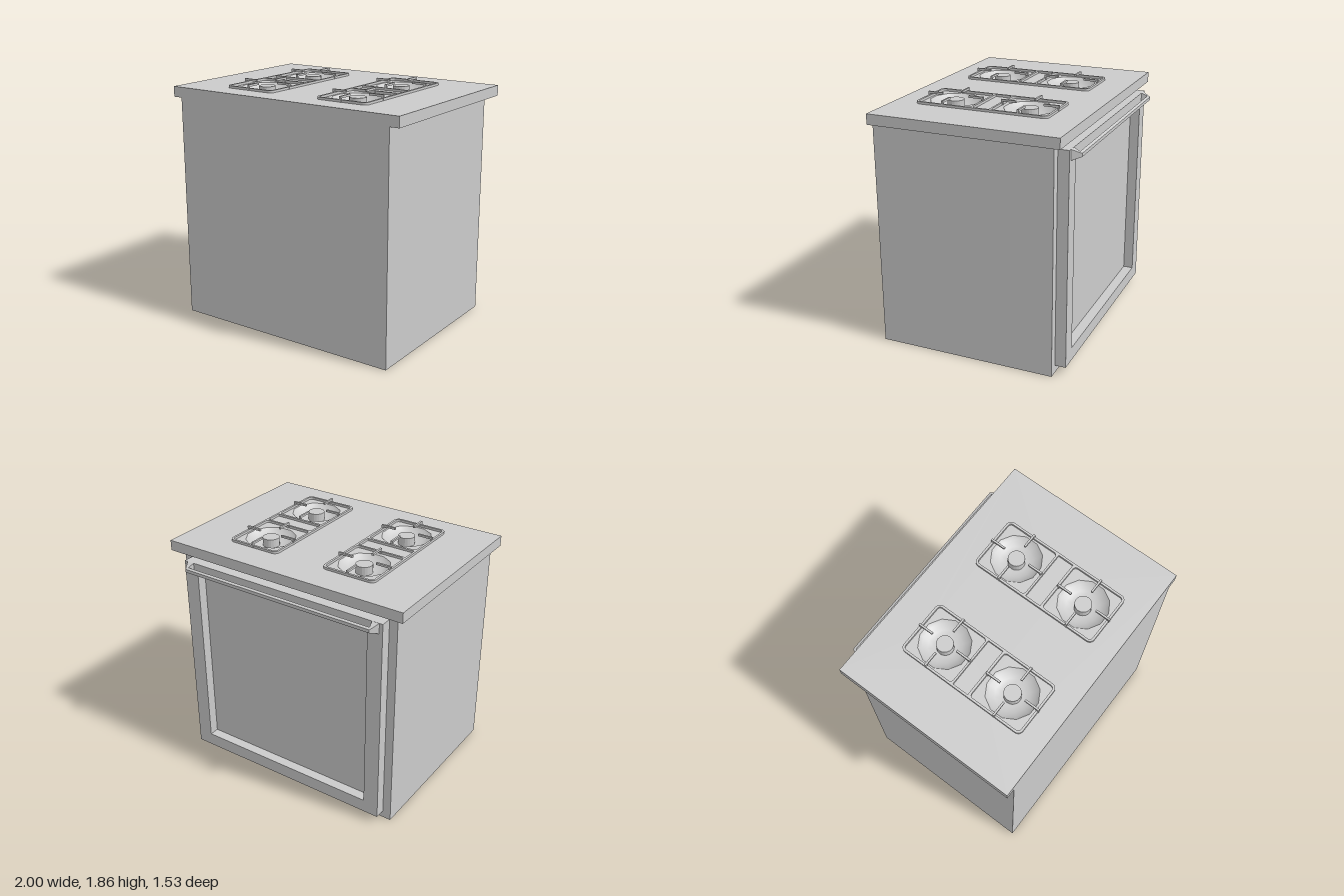
import * as THREE from 'three';
import { ConvexGeometry } from 'three/addons/geometries/ConvexGeometry.js';

const grey = new THREE.MeshStandardMaterial({ color: 0xcccccc, flatShading: true });
const smoothGrey = new THREE.MeshStandardMaterial({ color: 0xcccccc, side: THREE.DoubleSide });

const TOP = 1.82;            // worktop surface height
const BURNER_X = 0.413;
const BURNER_Z = [-0.225, 0.365];
const BOWL_R = 0.19;
const BOWL_SIDES = 12;

function add(parent, name, geometry, material = grey) {
  const mesh = new THREE.Mesh(geometry, material);
  mesh.name = name;
  parent.add(mesh);
  return mesh;
}

// Box given by its min and max corners
function box(x0, x1, y0, y1, z0, z1) {
  return new THREE.BoxGeometry(x1 - x0, y1 - y0, z1 - z0)
    .translate((x0 + x1) / 2, (y0 + y1) / 2, (z0 + z1) / 2);
}

// Rectangle outline in x and y, with optional rounded corners
function rect(Type, x0, x1, y0, y1, r = 0) {
  const s = new Type();
  s.moveTo(x0 + r, y0);
  s.lineTo(x1 - r, y0);
  if (r) s.absarc(x1 - r, y0 + r, r, -Math.PI / 2, 0);
  s.lineTo(x1, y1 - r);
  if (r) s.absarc(x1 - r, y1 - r, r, 0, Math.PI / 2);
  s.lineTo(x0 + r, y1);
  if (r) s.absarc(x0 + r, y1 - r, r, Math.PI / 2, Math.PI);
  s.lineTo(x0, y0 + r);
  if (r) s.absarc(x0 + r, y0 + r, r, Math.PI, Math.PI * 1.5);
  return s;
}

// Horizontal slab from a plan outline (outline y becomes -z)
function slab(shape, y0, height) {
  return new THREE.ExtrudeGeometry(shape, { depth: height, bevelEnabled: false, curveSegments: 4 })
    .rotateX(-Math.PI / 2).translate(0, y0, 0);
}

// Tapered block between two rectangles [x0, x1, y0, y1, z]
function taper(...ends) {
  const points = [];
  for (const [x0, x1, y0, y1, z] of ends)
    for (const x of [x0, x1]) for (const y of [y0, y1]) points.push(new THREE.Vector3(x, y, z));
  return new ConvexGeometry(points);
}

// Sunken bowl with the burner cap in its middle
function makeBurner() {
  const burner = new THREE.Group();
  burner.name = 'burner';
  const profile = [[0, 1.76], [0.08, 1.762], [0.125, 1.772], [0.165, 1.793], [BOWL_R, TOP]]
    .map(([r, y]) => new THREE.Vector2(r, y));
  add(burner, 'burnerBowl', new THREE.LatheGeometry(profile, BOWL_SIDES, Math.PI / BOWL_SIDES), smoothGrey);
  const cap = new THREE.CylinderGeometry(0.063, 0.063, 0.066, 20).translate(0, 1.793, 0);
  add(burner, 'burnerCap', cap);
  return burner;
}

// Pan support finger: a post on the frame and an arm reaching inward along -x
function makeFinger(reach) {
  const finger = new THREE.Group();
  finger.name = 'grateFinger';
  add(finger, 'fingerPost', box(reach - 0.015, reach, TOP, 1.847, -0.0075, 0.0075));
  add(finger, 'fingerArm', box(reach - 0.118, reach, 1.847, 1.863, -0.0075, 0.0075));
  return finger;
}

// Grate over two burners
function makeGrate() {
  const grate = new THREE.Group();
  grate.name = 'grate';
  const frame = rect(THREE.Shape, -0.215, 0.215, -0.585, 0.447, 0.04);
  frame.holes.push(
    rect(THREE.Path, -0.198, 0.198, 0.01, 0.43, 0.025),
    rect(THREE.Path, -0.198, 0.198, -0.132, -0.005),
    rect(THREE.Path, -0.198, 0.198, -0.568, -0.15, 0.025));
  add(grate, 'grateFrame', slab(frame, TOP, 0.018));
  for (const z of BURNER_Z) {
    for (let i = 0; i < 4; i++) {
      const finger = makeFinger(i % 2 ? 0.224 : 0.216);
      finger.rotation.y = i * Math.PI / 2;
      finger.position.z = z;
      grate.add(finger);
    }
  }
  return grate;
}

export function createModel() {
  const model = new THREE.Group();
  model.name = 'stove';

  add(model, 'cabinet', box(-0.925, 0.925, 0, 1.74, -0.615, 0.765));

  // Worktop with a hole for each bowl
  const top = rect(THREE.Shape, -1, 1, -0.765, 0.685);
  for (const side of [-1, 1]) for (const z of BURNER_Z) {
    const ring = [];
    for (let i = 0; i < BOWL_SIDES; i++) {
      const a = (i + 0.5) / BOWL_SIDES * Math.PI * 2;
      ring.push(new THREE.Vector2(side * BURNER_X + BOWL_R * Math.cos(a), -z + BOWL_R * Math.sin(a)));
    }
    top.holes.push(new THREE.Path(ring));
  }
  add(model, 'worktop', slab(top, 1.74, TOP - 1.74));

  // Burners and grates
  for (const side of [-1, 1]) {
    for (const z of BURNER_Z) {
      const burner = makeBurner();
      burner.position.set(side * BURNER_X, 0, z);
      model.add(burner);
    }
    const grate = makeGrate();
    grate.position.x = side * BURNER_X;
    model.add(grate);
  }

  // Oven door: a frame around a recessed panel
  const door = new THREE.Group();
  door.name = 'ovenDoor';
  model.add(door);
  const doorFrame = rect(THREE.Shape, -0.86, 0.86, 0.058, 1.697);
  doorFrame.holes.push(rect(THREE.Path, -0.74, 0.74, 0.16, 1.61));
  add(door, 'doorFrame', new THREE.ExtrudeGeometry(doorFrame, { depth: 0.083, bevelEnabled: false })
    .translate(0, 0, -0.698));
  add(door, 'doorPanel', box(-0.75, 0.75, 0.15, 1.62, -0.622, -0.612));

  // Handle: tapered bar on two splayed legs
  const handle = new THREE.Group();
  handle.name = 'doorHandle';
  door.add(handle);
  add(handle, 'handleBar', taper(
    [-0.808, 0.808, 1.636, 1.676, -0.745], [-0.797, 0.797, 1.643, 1.668, -0.765]));
  for (const side of [-1, 1]) {
    add(handle, 'handleLeg', taper(
      [side * 0.775, side * 0.833, 1.618, 1.697, -0.697],
      [side * 0.787, side * 0.808, 1.636, 1.676, -0.745]));
  }
  return model;
}
